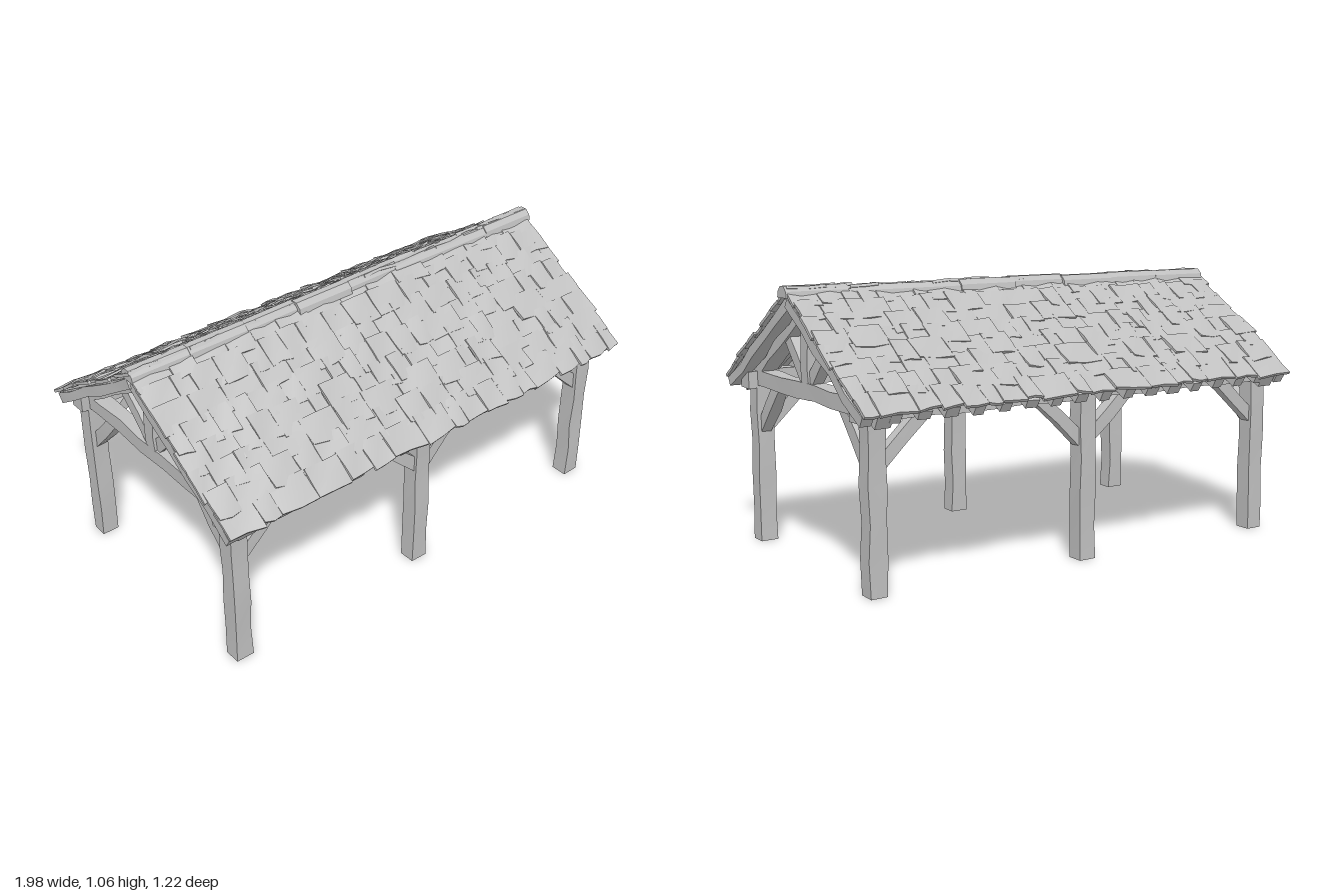
import * as THREE from 'three';

const SLOPE = 0.63;
const PITCH = Math.atan(SLOPE);

export function createModel() {
  const model = new THREE.Group();
  model.name = 'timberPavilion';
  const grey = new THREE.MeshStandardMaterial({ color: 0xc0c0c0 });
  grey.name = 'weatheredGrey';

  // Small seeded generator
  let seed = 7;
  const rand = (a = 0, b = 1) => {
    seed = (seed * 16807) % 2147483647;
    return a + (b - a) * (seed / 2147483647);
  };

  // Hewn timber from p to q: w is its horizontal width, d its depth
  function beam(name, p, q, w, d, rough = 0.004) {
    const a = new THREE.Vector3(...p), b = new THREE.Vector3(...q);
    const dir = b.clone().sub(a), len = dir.length();
    dir.normalize();
    const side = Math.abs(dir.x) > 0.01 ? new THREE.Vector3(0, 0, 1) : new THREE.Vector3(1, 0, 0);
    const third = new THREE.Vector3().crossVectors(side, dir);
    const geo = new THREE.BoxGeometry(w, len, d, 1, Math.max(2, Math.round(len / 0.14)), 1);
    const pos = geo.attributes.position, phase = rand(0, 6);
    for (let i = 0; i < pos.count; i++) {
      const x = pos.getX(i), y = pos.getY(i), z = pos.getZ(i);
      const k = Math.sign(x) * 1.7 + Math.sign(z) * 2.9 + phase;
      pos.setX(i, x + rough * Math.sin(y * 23 + k));
      pos.setZ(i, z + rough * Math.sin(y * 31 + k * 2));
    }
    geo.computeVertexNormals();
    geo.applyMatrix4(new THREE.Matrix4().makeBasis(side, dir, third)
      .setPosition(a.add(b).multiplyScalar(0.5)));
    const mesh = new THREE.Mesh(geo, grey);
    mesh.name = name;
    model.add(mesh);
  }

  for (const s of [-1, 1]) {
    const z = s * 0.47;
    // Posts
    for (const x of [-0.89, -0.02, 0.88]) beam('post', [x, 0, z], [x, 0.66, z], 0.07, 0.068, 0.003);
    // Eave beam and its knee braces
    beam('eaveBeam', [-0.95, 0.66, z], [0.95, 0.66, z], 0.07, 0.07);
    for (const [x0, x1] of [[-0.88, -0.68], [-0.03, -0.23], [0, 0.2], [0.87, 0.67]]) {
      beam('eaveBrace', [x0, 0.465, z], [x1, 0.65, z], 0.045, 0.05, 0.003);
    }
    // Common rafters
    for (let i = 0; i < 18; i++) {
      const x = -0.95 + i * 1.9 / 17;
      beam('commonRafter', [x, 0.995, 0], [x, 0.995 - 0.565 * SLOPE, s * 0.565], 0.05, 0.04);
    }
  }

  // Gable trusses
  for (const x of [-0.885, 0.88]) {
    beam('tieBeam', [x, 0.665, -0.5], [x, 0.665, 0.5], 0.062, 0.062);
    beam('kingPost', [x, 0.635, 0], [x, 1.0, 0], 0.06, 0.06);
    for (const s of [-1, 1]) {
      beam('principalRafter', [x, 0.985, 0], [x, 0.985 - 0.56 * SLOPE, s * 0.56], 0.065, 0.068);
      beam('strut', [x, 0.69, s * 0.01], [x, 0.87, s * 0.185], 0.045, 0.05);
      beam('kneeBrace', [x, 0.46, s * 0.455], [x, 0.66, s * 0.27], 0.045, 0.05);
    }
  }
  beam('ridgeBeam', [-0.95, 0.98, 0], [0.95, 0.98, 0], 0.05, 0.06);

  // One shingle, uneven across its width, with a thick lower edge
  function shingle(w, len) {
    const geo = new THREE.BoxGeometry(w, 0.012, len, 2, 1, 2);
    const pos = geo.attributes.position;
    const phase = rand(0, 6), skew = rand(-0.1, 0.1), lift = rand(0.002, 0.008);
    for (let i = 0; i < pos.count; i++) {
      const x = pos.getX(i), z = pos.getZ(i), low = z / len + 0.5;
      pos.setY(i, pos.getY(i) + low * lift + 0.004 * Math.sin(x * 40 + z * 25 + phase));
      pos.setZ(i, z + low * (x * skew + 0.005 * Math.sin(x * 60 + phase)));
    }
    geo.computeVertexNormals();
    return geo;
  }

  // Roof slopes: deck and overlapping shingle courses
  for (const s of [-1, 1]) {
    const slope = new THREE.Group();
    slope.name = s > 0 ? 'frontRoofSlope' : 'backRoofSlope';
    const frame = new THREE.Group();
    frame.position.y = 1.02;
    frame.rotation.x = PITCH;
    slope.rotation.y = s > 0 ? 0 : Math.PI;
    slope.add(frame);
    model.add(slope);

    const run = 0.695, courses = 8, step = run / courses;
    const deck = new THREE.Mesh(new THREE.BoxGeometry(1.94, 0.01, run - 0.03), grey);
    deck.name = 'roofDeck';
    deck.position.set(0, -0.002, (run - 0.03) / 2);
    frame.add(deck);

    for (let c = 0; c < courses; c++) {
      const end = 0.985 + rand(-0.008, 0.008);
      let x = -end;
      while (x < end - 0.01) {
        let w = rand(0.06, 0.17);
        if (x + w > end - 0.05) w = end - x;
        const len = step + 0.03;
        const mesh = new THREE.Mesh(shingle(w - 0.002, len), grey);
        mesh.name = 'shingle';
        mesh.position.set(x + w / 2, 0.011 + rand(0, 0.005), (c + 1) * step - len / 2 + rand(-0.007, 0.007));
        mesh.rotation.x = 0.06;
        mesh.rotation.z = rand(-0.03, 0.03);
        frame.add(mesh);
        x += w;
      }
    }
  }

  // Ridge cap in uneven lengths
  const cap = new THREE.Shape([[-0.04, 1.012], [0.04, 1.012], [0.034, 1.036], [0.014, 1.055], [-0.014, 1.055], [-0.034, 1.036]]
    .map(([x, y]) => new THREE.Vector2(x, y)));
  const count = 8, piece = 1.96 / count;
  for (let i = 0; i < count; i++) {
    const geo = new THREE.ExtrudeGeometry(cap, { depth: piece + 0.01, bevelEnabled: false });
    const mesh = new THREE.Mesh(geo, grey);
    mesh.name = 'ridgeCap';
    mesh.rotation.y = Math.PI / 2 + rand(-0.025, 0.025);
    mesh.position.set(-0.98 + i * piece, rand(-0.004, 0.004), rand(-0.006, 0.006));
    model.add(mesh);
  }
  return model;
}
